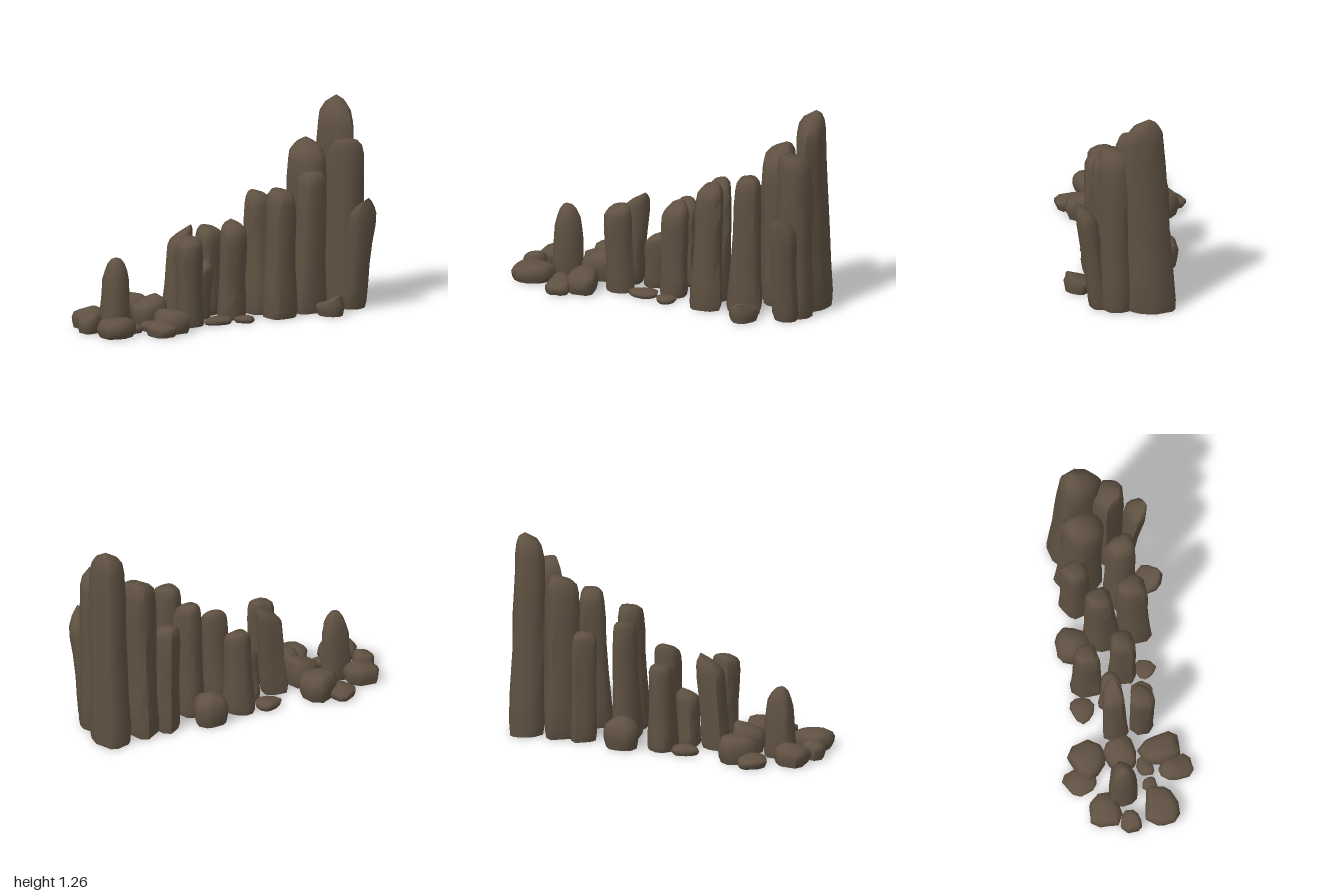
import * as THREE from 'three';
import { toCreasedNormals } from 'three/addons/utils/BufferGeometryUtils.js';

const SIDES = 11;
// [height fraction, width factor] from foot to shoulder
const PILLAR = [[0, 0.92], [0.05, 1], [0.2, 0.97], [0.4, 0.94], [0.6, 0.97], [0.78, 1], [0.91, 0.98], [0.965, 0.87], [0.995, 0.6]];
const SPIRE = [[0, 0.93], [0.06, 1], [0.25, 0.97], [0.5, 0.98], [0.7, 0.94], [0.83, 0.82], [0.93, 0.62], [0.985, 0.36]];
const BOULDER = [[0, 0.86], [0.25, 0.98], [0.55, 1], [0.82, 0.9], [0.96, 0.68], [1, 0.35]];

function seeded(seed) {
  let s = seed * 7919 + 13;
  return () => (s = (s * 16807) % 2147483647) / 2147483647;
}

// Irregular blocky outline stretched to fill -1..1 on both axes
function outline(rand) {
  const turn = rand() * 6;
  const pts = [];
  for (let i = 0; i < SIDES; i++) {
    const a = ((i + (rand() - 0.5) * 0.6) / SIDES) * Math.PI * 2;
    const r = 1 + 0.09 * Math.cos(3 * a + turn) + 0.05 * Math.cos(4 * a - turn);
    pts.push([r * Math.cos(a), r * Math.sin(a)]);
  }
  for (const k of [0, 1]) {
    const lo = Math.min(...pts.map((p) => p[k]));
    const hi = Math.max(...pts.map((p) => p[k]));
    pts.forEach((p) => {
      const v = ((p[k] - lo) / (hi - lo)) * 2 - 1;
      p[k] = Math.sign(v) * Math.abs(v) ** 0.88;
    });
  }
  return pts;
}

// foot and head are [x0, x1, z0, z1]; peak is [x, y, z]; slope lowers the top away from the peak
function rockGeometry(profile, foot, head, peak, slope, seed) {
  const rand = seeded(seed);
  const ring = outline(rand);
  const [px, h, pz] = peak;
  const pos = [];
  const index = [];
  profile.forEach(([t, w]) => {
    const [x0, x1, z0, z1] = foot.map((f, k) => THREE.MathUtils.lerp(f, head[k], Math.min(1, t / 0.85)));
    const pull = t > 0.85 ? (1 - w) * 0.8 : 0; // upper rings close in on the peak
    const cx = THREE.MathUtils.lerp((x0 + x1) / 2, px, pull);
    const cz = THREE.MathUtils.lerp((z0 + z1) / 2, pz, pull);
    for (const [u, v] of ring) {
      const k = w * (1.02 - rand() * 0.07);
      const x = cx + (u * k * (x1 - x0)) / 2;
      const z = cz + (v * k * (z1 - z0)) / 2;
      const drop = slope * Math.hypot(x - px, z - pz) * t ** 3;
      pos.push(x, Math.max(0, h * t - drop), z);
    }
  });
  const last = (profile.length - 1) * SIDES;
  const base = pos.length / 3;
  pos.push((foot[0] + foot[1]) / 2, 0, (foot[2] + foot[3]) / 2, px, h, pz);
  for (let i = 0; i < SIDES; i++) {
    const n = (i + 1) % SIDES;
    for (let r = 0; r < last; r += SIDES) {
      index.push(r + i, r + SIDES + i, r + n, r + n, r + SIDES + i, r + SIDES + n);
    }
    index.push(i, n, base, last + i, base + 1, last + n);
  }
  const geo = new THREE.BufferGeometry();
  geo.setAttribute('position', new THREE.Float32BufferAttribute(pos, 3));
  geo.setIndex(index);
  return toCreasedNormals(geo, 0.95);
}

export function createModel() {
  const model = new THREE.Group();
  model.name = 'rockFormation';
  const stone = new THREE.MeshStandardMaterial({ color: 0x5f5142 });
  stone.name = 'brown stone';
  let seed = 1;

  const add = (name, ...args) => {
    const mesh = new THREE.Mesh(rockGeometry(...args, seed++), stone);
    mesh.name = name;
    model.add(mesh);
  };
  const pillar = (name, foot, head, peak, slope = 0.3, profile = PILLAR) => add(name, profile, foot, head, peak, slope);
  const boulder = (name, rect, peak, slope = 0.25) => add(name, BOULDER, rect, rect, peak, slope);

  // Tall columns at the back
  pillar('tallestColumn', [-0.15, 0.17, -1, -0.76], [-0.075, 0.195, -0.97, -0.77], [0.02, 1.26, -0.9], 0.55);
  pillar('backLeftColumn', [0.11, 0.31, -0.94, -0.7], [0.11, 0.32, -0.93, -0.7], [0.27, 1.04, -0.77], 0.15);
  pillar('leaningColumn', [0.24, 0.37, -0.87, -0.7], [0.32, 0.455, -0.88, -0.7], [0.45, 0.7, -0.79], 0.7);
  pillar('backCentreColumn', [-0.16, 0.14, -0.76, -0.55], [-0.12, 0.15, -0.76, -0.55], [-0.03, 1.02, -0.7], 0.4);
  pillar('backRightColumn', [-0.18, 0.03, -0.6, -0.43], [-0.17, 0.0, -0.59, -0.43], [-0.11, 0.69, -0.51], 0.15);
  pillar('innerLeftColumn', [0.1, 0.3, -0.62, -0.39], [0.12, 0.3, -0.61, -0.45], [0.24, 0.865, -0.54], 0.1);

  // Middle columns
  pillar('middleCentreColumn', [-0.1, 0.14, -0.37, -0.18], [-0.085, 0.085, -0.36, -0.21], [-0.05, 0.745, -0.29], 0.2);
  pillar('middleLeftColumn', [0.11, 0.32, -0.37, -0.17], [0.115, 0.3, -0.37, -0.21], [0.16, 0.785, -0.3], 0.15);
  pillar('middleRightColumn', [-0.26, -0.06, -0.11, 0.08], [-0.23, -0.08, -0.1, 0.05], [-0.2, 0.54, -0.03], 0.15);
  pillar('middleFrontColumn', [-0.02, 0.15, -0.1, 0.06], [0.0, 0.15, -0.11, 0.05], [0.03, 0.605, -0.05], 0.4);

  // Front columns
  pillar('shortColumn', [-0.13, 0.01, 0.06, 0.2], [-0.11, 0.02, 0.05, 0.19], [-0.04, 0.355, 0.09], 0.5);
  pillar('frontRightColumn', [-0.16, 0.01, 0.22, 0.39], [-0.14, -0.01, 0.18, 0.35], [-0.05, 0.59, 0.2], 0.6);
  pillar('frontLeftColumn', [0.01, 0.16, 0.22, 0.4], [0.01, 0.17, 0.24, 0.41], [0.05, 0.55, 0.3], 0.15);
  pillar('frontSpire', [-0.24, -0.05, 0.61, 0.81], [-0.22, -0.06, 0.62, 0.79], [-0.14, 0.44, 0.72], 0.2, SPIRE);

  // Boulders beside the columns
  boulder('backLeftBoulder', [0.3, 0.48, -0.64, -0.46], [0.46, 0.135, -0.55], 0.5);
  boulder('rightBoulder', [-0.28, -0.06, -0.37, -0.15], [-0.18, 0.2, -0.26], 0.4);
  boulder('leftPebble', [0.15, 0.28, -0.07, 0.06], [0.22, 0.04, 0], 0.1);
  boulder('rightPebble', [-0.3, -0.15, 0.06, 0.23], [-0.24, 0.06, 0.13], 0.2);
  boulder('frontLeftPebble', [0.08, 0.22, 0.06, 0.25], [0.15, 0.045, 0.15], 0.1);

  // Boulders scattered round the front spire
  boulder('slabBoulder', [-0.41, -0.18, 0.36, 0.6], [-0.32, 0.16, 0.47], 0.03);
  boulder('outerRightBoulder', [-0.48, -0.27, 0.5, 0.68], [-0.36, 0.08, 0.58], 0.3);
  boulder('centreBoulder', [-0.2, 0, 0.4, 0.61], [-0.1, 0.19, 0.44], 0.35);
  boulder('leftSlab', [0.01, 0.27, 0.44, 0.62], [0.12, 0.135, 0.53], 0.05);
  boulder('outerLeftBoulder', [0.1, 0.31, 0.59, 0.74], [0.18, 0.1, 0.65], 0.35);
  boulder('innerPebble', [-0.02, 0.08, 0.53, 0.66], [0.03, 0.06, 0.6], 0.2);
  boulder('smallPebble', [-0.02, 0.07, 0.67, 0.76], [0.03, 0.05, 0.71], 0.2);
  boulder('frontRightBoulder', [-0.39, -0.19, 0.7, 0.92], [-0.28, 0.13, 0.78], 0.3);
  boulder('frontPebble', [-0.22, -0.09, 0.85, 0.99], [-0.13, 0.115, 0.9], 0.3);
  boulder('frontBoulder', [-0.06, 0.16, 0.74, 1], [0.05, 0.11, 0.87], 0.03);
  return model;
}
